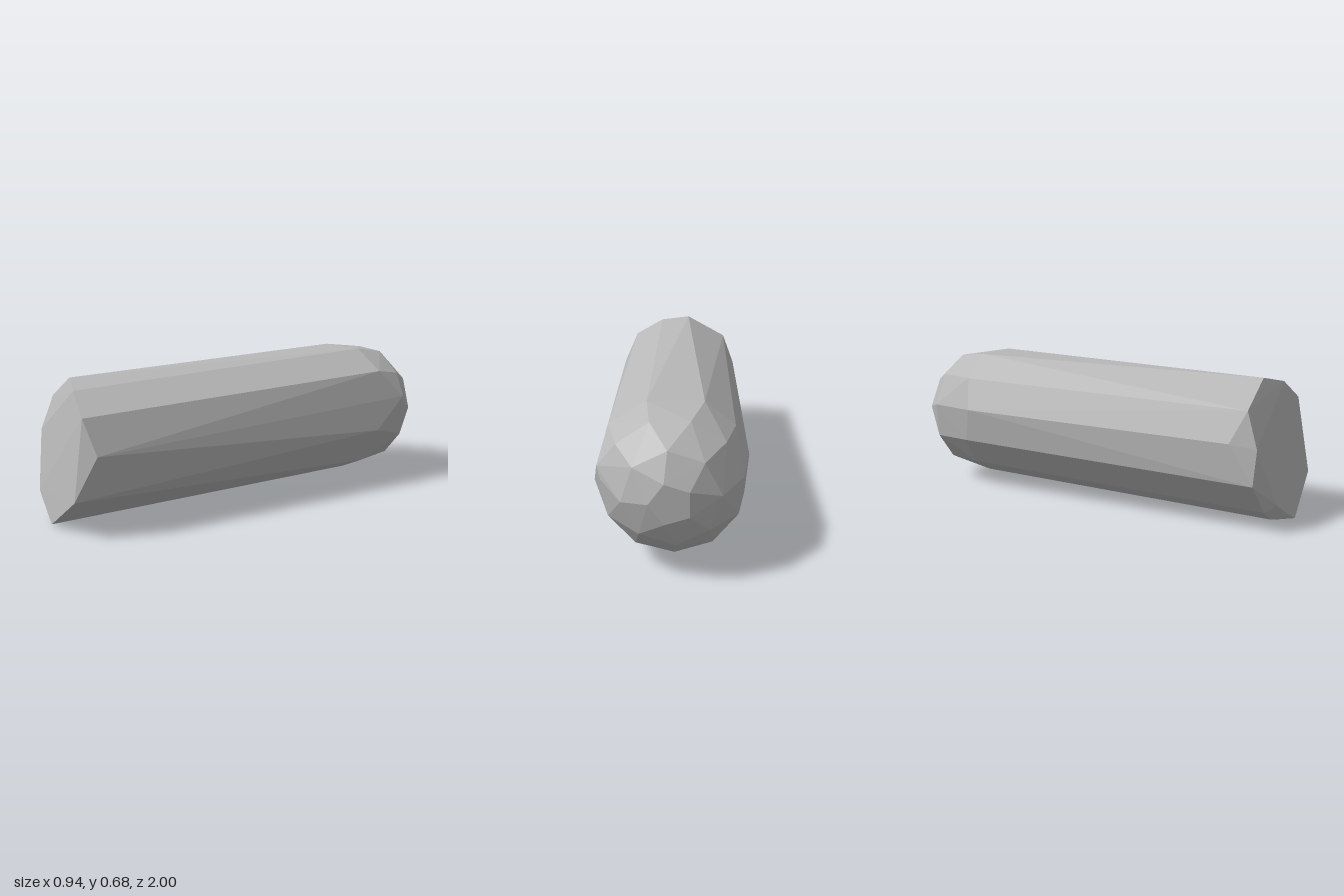
import * as THREE from 'three';
import { ConvexGeometry } from 'three/addons/geometries/ConvexGeometry.js';

const v = (x, y, z) => new THREE.Vector3(x, y, z);

// Corners of the chipped, slanted front end
const frontEnd = [
  [-0.21, 0.645, 0.82], [-0.07, 0.615, 0.89], [0.07, 0.525, 0.94], [0.145, 0.37, 0.92],
  [0.08, 0.17, 1.0], [-0.16, 0.005, 0.975], [-0.19, 0.0, 0.9], [-0.23, 0.04, 0.955],
  [-0.33, 0.04, 0.89], [-0.35, 0.11, 0.92], [-0.39, 0.085, 0.87], [-0.39, 0.18, 0.885],
  [-0.47, 0.215, 0.83], [-0.445, 0.37, 0.84], [-0.453, 0.39, 0.72], [-0.41, 0.53, 0.79],
];

// Irregular ring where the shaft meets the dome
const shoulder = [
  [0.0, 0.67, -0.66], [0.24, 0.675, -0.63], [0.4, 0.58, -0.61], [0.465, 0.445, -0.73],
  [0.46, 0.295, -0.54], [0.34, 0.11, -0.57], [0.195, 0.04, -0.6], [0.04, 0.05, -0.66],
  [-0.08, 0.12, -0.68], [-0.175, 0.25, -0.68], [-0.2, 0.41, -0.65], [-0.13, 0.56, -0.68],
];

// Staggered rings of facets on the rounded back end
function domePoints() {
  const centre = v(0.135, 0.36, -0.67);
  const axis = v(0.2, 0.02, -0.98).normalize();
  const side = v(0, 1, 0).cross(axis).normalize();
  const up = axis.clone().cross(side);
  const radius = 0.333;
  const points = [];
  for (const [latitude, count, phase] of [[27, 11, 0.3], [52, 8, 0.1], [74, 5, 0.5]]) {
    const a = THREE.MathUtils.degToRad(latitude);
    for (let i = 0; i < count; i++) {
      const t = (i + phase) / count * Math.PI * 2;
      points.push(centre.clone()
        .addScaledVector(axis, radius * Math.sin(a))
        .addScaledVector(side, radius * Math.cos(a) * Math.cos(t))
        .addScaledVector(up, radius * Math.cos(a) * Math.sin(t)));
    }
  }
  return points;
}

export function createModel() {
  const group = new THREE.Group();
  group.name = 'roundedRod';
  const grey = new THREE.MeshStandardMaterial({ color: 0xb8b8b8 });
  grey.name = 'grey';

  // One faceted convex skin wraps the shaft, the cut end and the dome
  const points = [...frontEnd, ...shoulder].map(p => v(...p)).concat(domePoints());
  const body = new THREE.Mesh(new ConvexGeometry(points), grey);
  body.name = 'facetedRod';
  group.add(body);
  return group;
}
